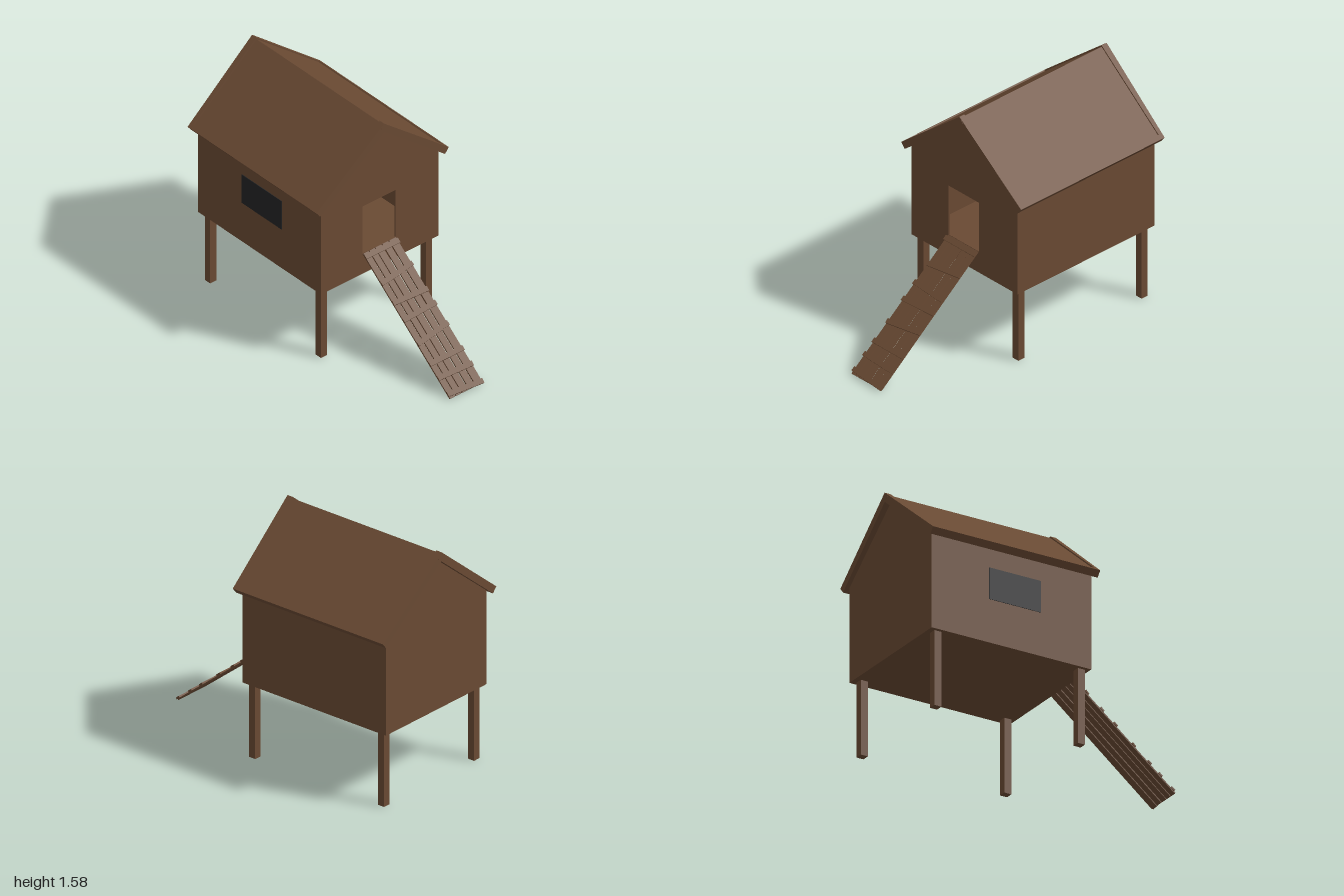
import * as THREE from 'three';

const wood = new THREE.MeshStandardMaterial({ color: 0x6a4a33 });
wood.name = 'brown wood';
const dark = new THREE.MeshStandardMaterial({ color: 0x232425 });
dark.name = 'dark window';

const X0 = -0.96, X1 = 0.18, MID = (X0 + X1) / 2; // house ends
const HALF = 0.47, BASE = 0.5, RIDGE = 1.575;     // half depth, floor, roof ridge
const SLOPE = Math.atan2(0.43, 0.53), ROOF_T = 0.048, WALL_T = 0.012;

function add(parent, name, geometry, material, x = 0, y = 0, z = 0) {
  const mesh = new THREE.Mesh(geometry, material);
  mesh.name = name;
  mesh.position.set(x, y, z);
  parent.add(mesh);
  return mesh;
}

const box = (w, h, d) => new THREE.BoxGeometry(w, h, d);
const polygon = (pts) => new THREE.Shape(pts.map(([x, y]) => new THREE.Vector2(x, y)));
const extrude = (shape, depth) => new THREE.ExtrudeGeometry(shape, { depth, bevelEnabled: false });

// End wall with a pointed top, optionally with a doorway
function gable(door) {
  const peak = RIDGE - ROOF_T / Math.cos(SLOPE) + 0.005;
  const eave = peak - HALF * Math.tan(SLOPE);
  const shape = polygon([[-HALF, BASE], [HALF, BASE], [HALF, eave], [0, peak], [-HALF, eave]]);
  if (door) {
    shape.holes.push(polygon([[-0.127, 0.65], [-0.127, 1], [0.14, 1], [0.14, 0.65]]));
  }
  return extrude(shape, WALL_T).rotateY(-Math.PI / 2);
}

function buildHouse() {
  const house = new THREE.Group();
  house.name = 'house';
  add(house, 'doorWall', gable(true), wood, X1);
  add(house, 'endWall', gable(false), wood, X0 + WALL_T);
  for (const s of [1, -1]) {
    add(house, s > 0 ? 'frontWall' : 'backWall', box(X1 - X0, 0.635, WALL_T), wood,
      MID, BASE + 0.3175, s * (HALF - WALL_T / 2));
  }
  add(house, 'floor', box(X1 - X0, WALL_T, HALF * 2), wood, MID, BASE + WALL_T / 2);
  add(house, 'window', box(0.37, 0.21, 0.006), dark, -0.365, 0.895, HALF + 0.001);
  return house;
}

// Two slopes, each a sunken panel inside a flared frame
function buildRoof() {
  const roof = new THREE.Group();
  roof.name = 'roof';
  roof.position.set(MID, RIDGE, 0);
  const len = 0.682, inner = 0.65, w = (X1 - X0) / 2;
  const frame = polygon([
    [-0.612, 0], [-w, 0], [-w, inner], [w, inner], [w, 0], [0.612, 0], [0.597, len], [-0.597, len],
  ]);
  const sunk = 0.008, start = sunk * Math.tan(SLOPE);
  const panel = polygon([[-w, start], [w, start], [w, inner], [-w, inner]]);
  for (const turn of [0, Math.PI]) {
    const side = new THREE.Group();
    side.name = turn ? 'backSlope' : 'frontSlope';
    side.rotation.y = turn;
    const pitch = Math.PI / 2 + SLOPE;
    add(side, 'roofFrame', extrude(frame, ROOF_T).rotateX(pitch), wood);
    add(side, 'roofPanel', extrude(panel, ROOF_T - sunk).translate(0, 0, sunk).rotateX(pitch), wood);
    roof.add(side);
  }
  return roof;
}

// Sloping ramp of long planks with crooked cross slats
function buildRamp() {
  const ramp = new THREE.Group();
  ramp.name = 'ramp';
  const dx = 0.805, dy = 0.645, length = Math.hypot(dx, dy);
  ramp.position.set(0.185, 0.652, 0);
  ramp.rotation.z = -Math.atan2(dy, dx);
  const planks = [[0.116, 0.042], [0.067, 0.042], [0.016, 0.048], [-0.04, 0.046], [-0.098, 0.054]];
  for (const [z, width] of planks) {
    add(ramp, 'rampPlank', box(length, 0.01, width), wood, length / 2, -0.004, z);
  }
  // x position along the ground, twist
  const slats = [[0.205, 0], [0.342, -0.11], [0.467, 0.05], [0.553, -0.04],
    [0.675, -0.13], [0.8, 0], [0.882, 0.04], [0.975, 0.08]];
  for (const [x, twist] of slats) {
    const along = (x - 0.185) / dx * length;
    add(ramp, 'rampSlat', box(0.032, 0.012, 0.27), wood, along, 0.006, 0.007).rotation.y = -twist;
  }
  return ramp;
}

export function createModel() {
  const model = new THREE.Group();
  model.name = 'raisedCoop';
  model.add(buildHouse(), buildRoof(), buildRamp());
  // Square stilts
  for (const x of [-0.9, 0.125]) {
    for (const z of [-0.42, 0.42]) add(model, 'leg', box(0.05, BASE, 0.05), wood, x, BASE / 2, z);
  }
  return model;
}
